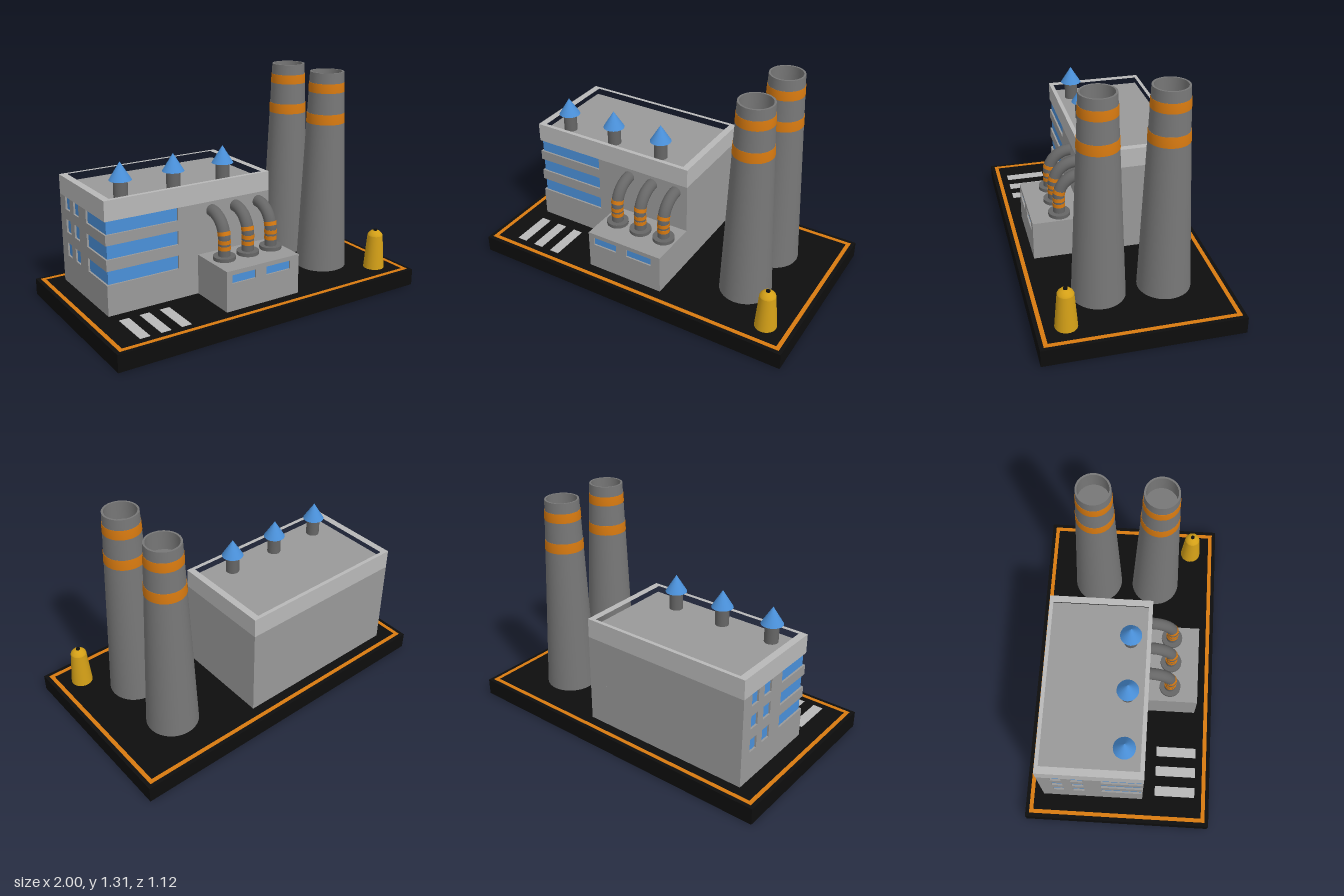
import * as THREE from 'three';

const mat = (color, side = THREE.FrontSide) => new THREE.MeshStandardMaterial({ color, side });
const WALL = mat(0x999999), TRIM = mat(0xb8b8b8), DARK = mat(0x666666), BLACK = mat(0x0d0d0d);
const STACK = mat(0x777777, THREE.DoubleSide), ORANGE = mat(0xd87a10, THREE.DoubleSide);
const BLUE = mat(0x4a90d9), YELLOW = mat(0xd4a017, THREE.DoubleSide), WHITE = mat(0xb8b8b8);

function add(parent, name, geometry, material, x = 0, y = 0, z = 0) {
  const mesh = new THREE.Mesh(geometry, material);
  mesh.name = name;
  mesh.position.set(x, y, z);
  parent.add(mesh);
  return mesh;
}

// box given by its limits on each axis
function block(parent, name, material, [x0, x1], [y0, y1], [z0, z1]) {
  return add(parent, name, new THREE.BoxGeometry(x1 - x0, y1 - y0, z1 - z0), material,
    (x0 + x1) / 2, (y0 + y1) / 2, (z0 + z1) / 2);
}

// floor plan of [x, z] points raised from y0 to y1
function storey(parent, name, material, plan, y0, y1, hole) {
  const pts = (list) => list.map(([x, z]) => new THREE.Vector2(x, -z));
  const shape = new THREE.Shape(pts(plan));
  if (hole) shape.holes.push(new THREE.Path(pts(hole)));
  const geo = new THREE.ExtrudeGeometry(shape, { depth: y1 - y0, bevelEnabled: false });
  geo.rotateX(-Math.PI / 2);
  return add(parent, name, geo, material, 0, y0, 0);
}

const rect = (x0, x1, z0, z1) => [[x0, z0], [x1, z0], [x1, z1], [x0, z1]];
const lathe = (pts, n = 40) => new THREE.LatheGeometry(pts.map(([r, y]) => new THREE.Vector2(r, y)), n);

function createBase() {
  const g = new THREE.Group();
  g.name = 'base';
  block(g, 'slab', BLACK, [-1, 1], [0, 0.1], [-0.56, 0.56]);
  storey(g, 'borderLine', ORANGE, rect(-0.977, 0.977, -0.537, 0.537), 0.098, 0.102,
    rect(-0.953, 0.953, -0.513, 0.513));
  for (const x of [-0.8, -0.676, -0.553])
    block(g, 'groundStripe', WHITE, [x - 0.03, x + 0.03], [0.098, 0.103], [0.225, 0.47]);
  return g;
}

function createMainBuilding() {
  const g = new THREE.Group();
  g.name = 'mainBuilding';
  const L = -0.855, R = 0.195, B = -0.455, F = 0.15, d = 0.017, e = 0.006;
  const solid = rect(L, R, B, F);
  const smallWindows = [[-0.264, -0.195], [-0.38, -0.317]];
  // window storeys have a notched front corner and two notches along the side
  const notched = [[L, B], [R, B], [R, F], [-0.415, F], [-0.415, F - d], [L + d, F - d], [L + d, -0.094], [L, -0.094]];
  for (const [z0, z1] of smallWindows) notched.push([L, z1], [L + d, z1], [L + d, z0], [L, z0]);

  let y = 0.1;
  for (const [y0, y1] of [[0.28, 0.36], [0.425, 0.505], [0.565, 0.64]]) {
    storey(g, 'wall', WALL, solid, y, y0);
    storey(g, 'windowWall', WALL, notched, y0, y1);
    block(g, 'frontWindow', BLUE, [L + d - e, -0.415], [y0, y1], [F - d - e, F - d + e]);
    block(g, 'sideCornerWindow', BLUE, [L + d - e, L + d + e], [y0, y1], [-0.094, F - d + e]);
    for (const zs of smallWindows)
      block(g, 'sideWindow', BLUE, [L + d - e, L + d + e], [y0, y1], zs);
    y = y1;
  }
  // parapet and sunken roof
  storey(g, 'parapet', TRIM, solid, 0.64, 0.755, rect(-0.813, 0.155, -0.433, 0.126));
  block(g, 'roof', WALL, [-0.83, 0.17], [0.645, 0.71], [-0.44, 0.135]);

  for (const x of [-0.7, -0.375, -0.05]) {
    add(g, 'roofVentStem', new THREE.CylinderGeometry(0.04, 0.04, 0.115, 24), DARK, x, 0.7625, 0.033);
    add(g, 'roofVentCap', new THREE.ConeGeometry(0.063, 0.102, 24), BLUE, x, 0.869, 0.033);
  }
  return g;
}

function createAnnex() {
  const g = new THREE.Group();
  g.name = 'annex';
  const L = -0.29, R = 0.195, B = 0.145, F = 0.453, d = 0.015;
  const windows = [[-0.03, 0.135], [-0.255, -0.1]];
  const notched = [[L, B], [R, B], [R, F]];
  for (const [x0, x1] of windows) notched.push([x1, F], [x1, F - d], [x0, F - d], [x0, F]);
  notched.push([L, F]);
  storey(g, 'annexWall', WALL, rect(L, R, B, F), 0.1, 0.262);
  storey(g, 'annexWindowWall', WALL, notched, 0.262, 0.312);
  storey(g, 'annexTop', WALL, rect(L, R, B, F), 0.312, 0.338);
  for (const xs of windows) block(g, 'annexWindow', BLUE, xs, [0.262, 0.312], [F - d - 0.005, F - d + 0.005]);

  // pipes rise from flanges and bend back into the wall
  const path = new THREE.CurvePath();
  const v = (y, z) => new THREE.Vector3(0, y, z);
  const k = 0.552 * 0.133;
  path.add(new THREE.LineCurve3(v(0.34, 0.283), v(0.455, 0.283)));
  path.add(new THREE.CubicBezierCurve3(v(0.455, 0.283), v(0.455 + k, 0.283), v(0.588, 0.15 + k), v(0.588, 0.15)));
  path.add(new THREE.LineCurve3(v(0.588, 0.15), v(0.588, 0.12)));
  const pipe = new THREE.TubeGeometry(path, 40, 0.035, 24);
  for (const x of [-0.198, -0.04, 0.118]) {
    add(g, 'pipe', pipe, DARK, x);
    add(g, 'pipeFlange', new THREE.CylinderGeometry(0.064, 0.064, 0.022, 28), DARK, x, 0.348, 0.283);
    for (const y of [0.407, 0.443])
      add(g, 'pipeBand', new THREE.CylinderGeometry(0.0365, 0.0365, 0.023, 24), ORANGE, x, y, 0.283);
    const top = add(g, 'pipeBand', new THREE.CylinderGeometry(0.0365, 0.0365, 0.023, 24), ORANGE, x, 0.488, 0.279);
    top.rotation.x = -0.25;
  }
  return g;
}

function createSmokestack(z) {
  const g = new THREE.Group();
  g.name = 'smokestack';
  g.position.set(0.597, 0, z);
  const radius = (y) => 0.152 - (0.052 * (y - 0.1)) / 1.207;
  add(g, 'stackShaft', lathe([[0.152, 0.1], [0.1, 1.307]]), STACK);
  add(g, 'stackRim', new THREE.RingGeometry(0.089, 0.1, 40).rotateX(-Math.PI / 2), STACK, 0, 1.307);
  add(g, 'stackInside', lathe([[0.089, 1.307], [0.091, 1.2]]), STACK);
  add(g, 'stackFloor', new THREE.CircleGeometry(0.092, 40).rotateX(-Math.PI / 2), STACK, 0, 1.2);
  for (const [y0, y1] of [[1.005, 1.065], [1.19, 1.245]])
    add(g, 'stackBand', lathe([[radius(y0), y0], [radius(y0) + 0.002, y0], [radius(y1) + 0.002, y1], [radius(y1), y1]]), ORANGE);
  return g;
}

function createTank() {
  const g = new THREE.Group();
  g.name = 'storageTank';
  g.position.set(0.833, 0, 0.392);
  add(g, 'tankBody', lathe([[0.063, 0.1], [0.046, 0.308]], 28), YELLOW);
  add(g, 'tankDome', lathe([[0.046, 0.308], [0.042, 0.318], [0.026, 0.334], [0, 0.34]], 28), YELLOW);
  add(g, 'tankCap', new THREE.CylinderGeometry(0.012, 0.012, 0.014, 16), BLACK, 0, 0.338);
  return g;
}

export function createModel() {
  const model = new THREE.Group();
  model.name = 'factory';
  model.add(createBase(), createMainBuilding(), createAnnex(),
    createSmokestack(-0.213), createSmokestack(0.163), createTank());
  return model;
}
